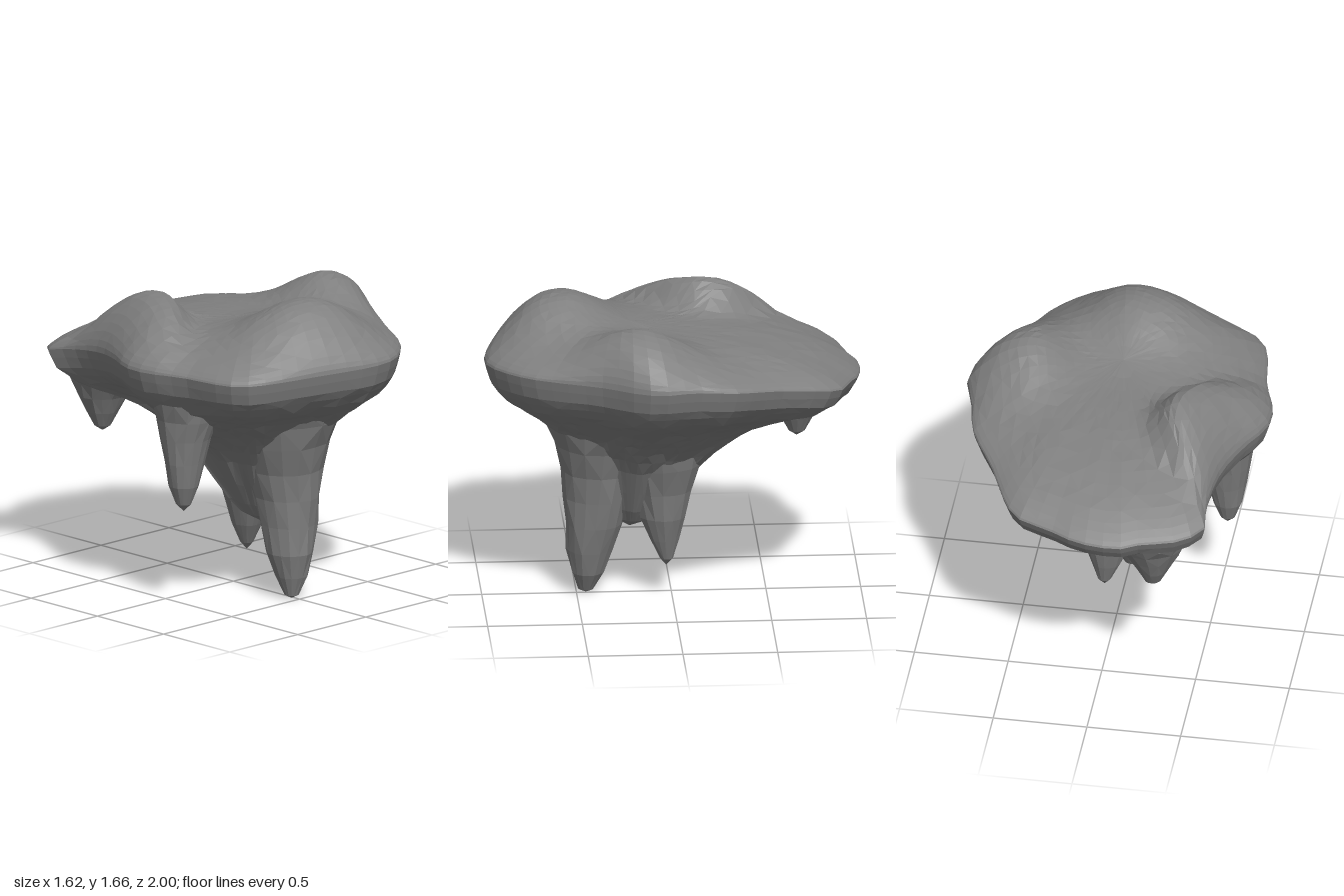
import * as THREE from 'three';

const material = new THREE.MeshStandardMaterial({ color: 0x808080, flatShading: true, side: THREE.DoubleSide });

// Repeatable value in -1..1 for uneven rock facets
const noise = (a, b) => {
  const s = Math.sin(a * 12.9898 + b * 78.233) * 43758.5453;
  return (s - Math.floor(s)) * 2 - 1;
};

// Piecewise linear lookup in [[x, y], ...] sorted by x
function lookup(table, x) {
  const i = Math.max(1, table.findIndex(p => p[0] >= x));
  const [x0, y0] = table[i - 1], [x1, y1] = table[i];
  return y0 + (y1 - y0) * (x - x0) / (x1 - x0);
}

// Skin closed rings of points, ordered from the top down
function loft(name, rings) {
  const n = rings[0].length, index = [];
  for (let i = 0; i < rings.length - 1; i++) {
    for (let j = 0; j < n; j++) {
      const k = (j + 1) % n, a = i * n + j, b = a + n, c = (i + 1) * n + k, d = i * n + k;
      if ((i + j) % 2) index.push(a, b, c, a, c, d);
      else index.push(a, b, d, b, c, d);
    }
  }
  const geometry = new THREE.BufferGeometry();
  geometry.setAttribute('position', new THREE.Float32BufferAttribute(rings.flat(2), 3));
  geometry.setIndex(index);
  geometry.computeVertexNormals();
  const mesh = new THREE.Mesh(geometry, material);
  mesh.name = name;
  return mesh;
}

// Rim of the island seen from above, [x, z], starting at the front
const outline = new THREE.CatmullRomCurve3([
  [0.1, 0.995], [0.25, 0.97], [0.45, 0.8], [0.55, 0.62], [0.65, 0.4], [0.78, 0.2], [0.81, 0.08],
  [0.76, -0.1], [0.72, -0.3], [0.58, -0.55], [0.47, -0.78], [0.4, -0.87], [0.22, -0.93],
  [0.05, -0.99], [-0.18, -0.995], [-0.3, -0.94], [-0.42, -0.92], [-0.59, -0.8], [-0.58, -0.65],
  [-0.62, -0.38], [-0.72, -0.15], [-0.8, 0], [-0.81, 0.15], [-0.74, 0.38], [-0.71, 0.6],
  [-0.66, 0.73], [-0.55, 0.8], [-0.25, 0.9],
].map(([x, z]) => new THREE.Vector3(x, 0, z)), true, 'centripetal').getSpacedPoints(60).slice(0, 60);

const centre = { x: 0, z: 0.22 };
const rimHeight = (x, z) => 1.35 + 0.035 * x - 0.15 * Math.max(0, -z) ** 1.5;

// Mounds on top: x, z, height, spread to -x, spread to +x, spread in z, bend of the crest
const mounds = [
  [-0.05, 0.62, 0.2, 0.28, 0.24, 0.24, 0],
  [0.53, 0.22, 0.18, 0.19, 0.24, 0.23, 0],
  [-0.38, -0.22, 0.18, 0.26, 0.1, 0.26, 1.6],
];

function topHeight(f, x, z, rim) {
  const round = Math.sqrt(1 - f ** 8);
  let y = rim + (1.44 - rim) * (1 - f ** 3) + 0.035 * round;
  for (const [mx, mz, h, left, right, depth, bend] of mounds) {
    const off = x - mx + bend * (z - mz) ** 2;
    const dx = off / (off < 0 ? left : right), dz = (z - mz) / depth;
    y += h * round * Math.exp(-0.5 * (dx * dx + dz * dz) ** 1.15);
  }
  return y;
}

// Underside height by fraction of the way out to the rim
const underside = [[0, 0.37], [0.1, 0.42], [0.16, 0.49], [0.24, 0.61], [0.33, 0.75], [0.42, 0.85],
  [0.52, 0.94], [0.65, 1.03], [0.88, 1.15], [0.97, 1.25], [1, 1.35]];

// Places where the underside sags into a spike: x, z, depth
const sags = [[-0.53, 0.2, 0.08], [-0.29, -0.66, 0.08], [0.05, -0.05, 0.05]];

function bottomHeight(f, x, z, rim) {
  let y = lookup(underside, f) + (rim - 1.35) * f ** 4;
  for (const [sx, sz, depth] of sags) {
    y -= depth * f * (1 - f ** 8) * Math.exp(-((x - sx) ** 2 + (z - sz) ** 2) / 0.045);
  }
  return y;
}

function island() {
  const ring = (f, height, roughness) => outline.map((p, j) => {
    const x = centre.x + (p.x - centre.x) * f, z = centre.z + (p.z - centre.z) * f;
    const bump = roughness * f * (1 - f ** 6) * noise(j, f * 9);
    return [x, height(f, x, z, rimHeight(p.x, p.z)) + bump, z];
  });
  const topSteps = [0, 0.1, 0.18, 0.25, 0.32, 0.38, 0.44, 0.5, 0.56, 0.62, 0.68, 0.74, 0.8, 0.86, 0.91, 0.95, 0.98, 0.995, 1];
  const lowSteps = [0.985, 0.96, 0.92, 0.86, 0.79, 0.72, 0.65, 0.58, 0.52, 0.46, 0.4, 0.33, 0.24, 0.16, 0.1, 0];
  return loft('island', [
    ...topSteps.map(f => ring(f, topHeight, 0.005)),
    ...lowSteps.map(f => ring(f, bottomHeight, 0.014)),
  ]);
}

// Hanging rock spike; sections are [y, radius, x, z] from the root down
function spike(name, sections, seed) {
  const sides = 16;
  return loft(name, sections.map(([y, r, cx, cz], i) =>
    Array.from({ length: sides }, (_, j) => {
      const a = (j / sides) * Math.PI * 2, rr = r * (1 + 0.04 * noise(j + seed, i));
      return [cx + Math.sin(a) * rr, y, cz + Math.cos(a) * rr];
    })));
}

export function createModel() {
  const model = new THREE.Group();
  model.name = 'floatingRock';
  model.add(
    island(),
    spike('mainSpike', [
      [1.08, 0.36, 0, 0.34], [0.98, 0.31, 0, 0.36], [0.85, 0.255, 0, 0.37], [0.7, 0.205, 0, 0.38],
      [0.55, 0.175, 0.01, 0.395], [0.4, 0.15, 0.01, 0.41], [0.25, 0.125, 0, 0.43],
      [0.12, 0.085, 0, 0.44], [0.02, 0.04, -0.01, 0.45], [0, 0, -0.01, 0.45],
    ], 1),
    spike('middleSpike', [
      [1, 0.31, 0.05, 0.08], [0.87, 0.255, 0.05, 0.07], [0.75, 0.215, 0.05, 0.06],
      [0.6, 0.165, 0.05, 0.055], [0.45, 0.125, 0.06, 0.05], [0.32, 0.08, 0.06, 0.04],
      [0.21, 0.035, 0.07, 0.03], [0.17, 0, 0.07, 0.03],
    ], 5),
    spike('rightSpike', [
      [1.14, 0.2, -0.52, 0.2], [1.04, 0.165, -0.53, 0.2], [0.93, 0.133, -0.55, 0.2],
      [0.8, 0.107, -0.555, 0.2], [0.67, 0.078, -0.56, 0.2], [0.57, 0.04, -0.56, 0.2], [0.53, 0, -0.56, 0.2],
    ], 9),
    spike('backSpike', [
      [1.1, 0.23, -0.28, -0.66], [1.03, 0.18, -0.29, -0.67], [0.95, 0.135, -0.3, -0.68],
      [0.86, 0.09, -0.3, -0.68], [0.78, 0.045, -0.3, -0.68], [0.75, 0, -0.3, -0.68],
    ], 13),
  );
  return model;
}
